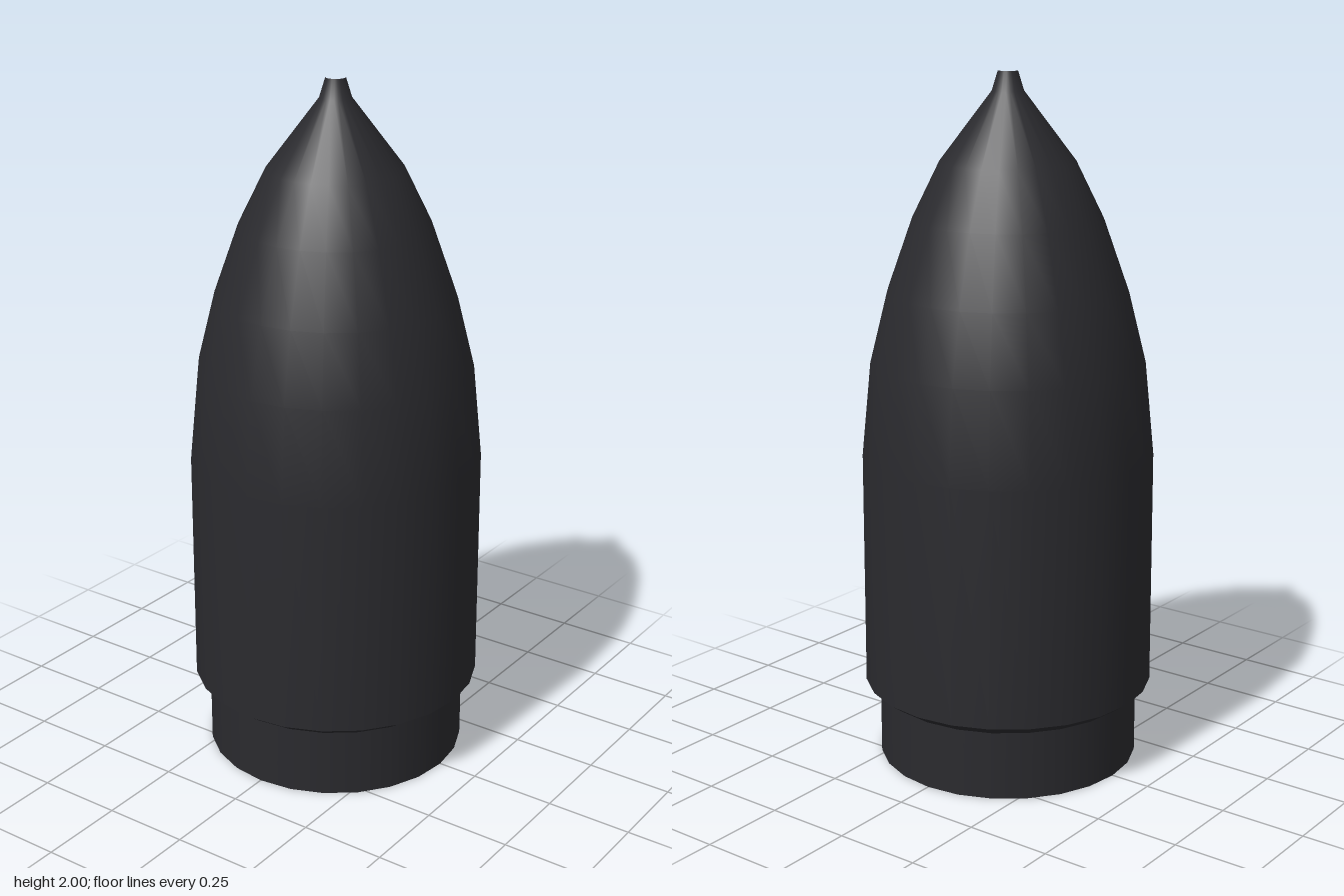
import * as THREE from 'three';

const SIDES = 24;
const dark = new THREE.MeshStandardMaterial({ color: 0x2a2a2e });
const tan = new THREE.MeshStandardMaterial({ color: 0xa58a6b });

// Revolve a [radius, height] profile; rising profiles face outward, falling ones inward
function turned(name, profile, material) {
  const points = profile.map(([r, y]) => new THREE.Vector2(r, y));
  const mesh = new THREE.Mesh(new THREE.LatheGeometry(points, SIDES), material);
  mesh.name = name;
  return mesh;
}

export function createModel() {
  const model = new THREE.Group();
  model.name = 'noseCone';

  // Ogive from shoulder to tip
  const ogive = [
    [0.42, 0.92], [0.393, 1.19], [0.343, 1.39], [0.272, 1.59],
    [0.193, 1.75], [0.045, 1.945], [0.028, 2],
  ];

  // Outer skin, in separate pieces so the collar edges stay sharp
  model.add(
    turned('bottomRim', [[0.34, 0], [0.38, 0]], dark),
    turned('collar', [[0.38, 0], [0.38, 0.2]], dark),
    turned('shoulderBevel', [[0.38, 0.2], [0.422, 0.23]], dark),
    turned('outerShell', [[0.422, 0.23], ...ogive], dark),
  );

  // Hollow inside: straight socket, then a lining that follows the ogive
  const lining = ogive.slice(0, 5).map(([r, y]) => [r - 0.04, y - 0.02]).reverse();
  model.add(
    turned('innerLining', [[0.012, 1.93], ...lining, [0.38, 0.25], [0.34, 0.2]], tan),
    turned('innerSocket', [[0.34, 0.2], [0.34, 0]], tan),
  );

  // Small conical plug set just inside the tip
  const plug = new THREE.Mesh(new THREE.ConeGeometry(0.031, 0.02, SIDES), tan);
  plug.name = 'tipPlug';
  plug.position.y = 1.985;
  model.add(plug);

  return model;
}
